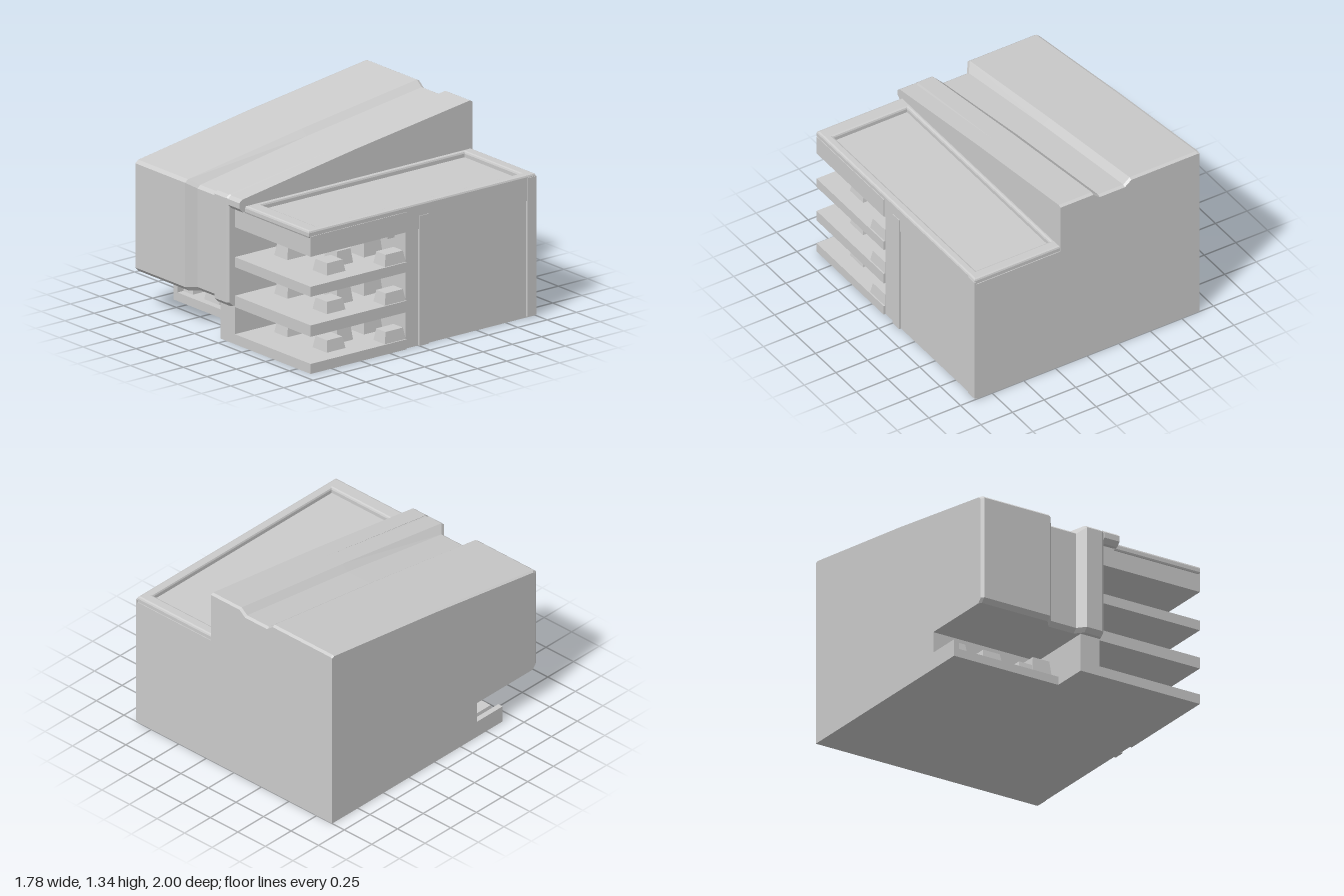
import * as THREE from 'three';

const grey = new THREE.MeshStandardMaterial({ color: 0xcccccc, flatShading: true });

export function createModel() {
  const model = new THREE.Group();
  model.name = 'house';

  const add = (name, geometry, parent = model) => {
    const mesh = new THREE.Mesh(geometry, grey);
    mesh.name = name;
    parent.add(mesh);
    return mesh;
  };

  // Box given by its limits on each axis
  const box = (name, x0, x1, y0, y1, z0, z1, parent) => {
    const mesh = add(name, new THREE.BoxGeometry(x1 - x0, y1 - y0, z1 - z0), parent);
    mesh.position.set((x0 + x1) / 2, (y0 + y1) / 2, (z0 + z1) / 2);
    return mesh;
  };

  // Sloped-roof block lofted along x; each station is [x, front inset, roof drop]
  const wedge = (name, stations, bottom) => {
    const rings = stations.map(([x, inset, drop]) => {
      const front = 1 - inset;
      return [
        [-1, bottom], [front - 0.03, bottom], [front, bottom + 0.03],
        [front, 1.03 - drop], [front - 0.025, 1.05 - drop],
        [0, 1.2 - drop], [-0.98, 1.335 - drop], [-1, 1.325 - drop],
      ].map(([z, y]) => [x, y, z]);
    });
    const positions = [];
    const tri = (...corners) => corners.forEach((c) => positions.push(...c));
    const n = rings[0].length;
    for (let i = 0; i < rings.length - 1; i++) {
      for (let k = 0; k < n; k++) {
        const a = rings[i][k], b = rings[i][(k + 1) % n];
        const c = rings[i + 1][(k + 1) % n], d = rings[i + 1][k];
        tri(a, d, c);
        tri(a, c, b);
      }
    }
    const first = rings[0], last = rings[rings.length - 1];
    for (let k = 1; k < n - 1; k++) {
      tri(first[0], first[k], first[k + 1]);
      tri(last[0], last[k + 1], last[k]);
    }
    const geometry = new THREE.BufferGeometry();
    geometry.setAttribute('position', new THREE.Float32BufferAttribute(positions, 3));
    geometry.computeVertexNormals();
    add(name, geometry);
  };

  // Upper storeys with the sunken channel running over the roof and down the front
  wedge('slopedHall', [
    [-0.89, 0.02, 0.005], [-0.875, 0, 0], [-0.35, 0, 0], [-0.3, 0.065, 0.04],
    [-0.1, 0.065, 0.04], [-0.05, 0.01, 0], [0.07, 0.01, 0], [0.09, 0.025, 0],
  ], 0.27);
  wedge('roofEave', [[0.09, 0.01, 0], [0.21, 0.01, 0]], 0.96);

  // Ground floor under the overhang, set back at the front
  box('groundFloor', -0.89, -0.06, 0, 0.27, -1, 0.41);
  box('porchFloor', -0.89, -0.06, 0, 0.06, 0.41, 0.66);
  box('porchSideWall', -0.89, -0.85, 0.06, 0.12, 0.41, 0.66);
  box('rearBase', -0.06, 0.09, 0, 0.27, -1, 0.11);
  box('cornerPier', -0.06, 0.09, 0, 0.27, 0.11, 0.93);

  // Flat-roofed wing
  box('wingBody', 0.09, 0.875, 0, 0.96, -1, 0.11);
  box('rearCornerPost', 0.875, 0.89, 0.01, 0.98, -1, -0.92);
  box('wallPilaster', 0.875, 0.89, 0, 0.91, -0.08, 0);
  box('wingEaveStrip', 0.875, 0.885, 0.82, 0.96, -0.92, 0.11);

  // Roof parapet around a shallow tray
  const rim = new THREE.Shape([[0.21, -0.93], [0.875, -0.93], [0.875, 0.985], [0.21, 0.985]]
    .map(([x, y]) => new THREE.Vector2(x, y)));
  rim.holes.push(new THREE.Path([[0.23, -0.84], [0.23, 0.92], [0.83, 0.92], [0.83, -0.84]]
    .map(([x, y]) => new THREE.Vector2(x, y))));
  const rimGeometry = new THREE.ExtrudeGeometry(rim, {
    depth: 0.025, bevelEnabled: true, bevelThickness: 0.015, bevelSize: 0.015,
    bevelOffset: -0.005, bevelSegments: 2,
  });
  rimGeometry.rotateX(-Math.PI / 2);
  add('roofParapet', rimGeometry).position.y = 0.96;

  // Open corner balconies
  for (const [name, y0, y1] of [
    ['groundSlab', 0, 0.07], ['firstSlab', 0.26, 0.34],
    ['secondSlab', 0.54, 0.61], ['roofSlab', 0.82, 0.96],
  ]) box(name, 0.09, 0.89, y0, y1, 0.11, 0.93);
  box('ceilingBeam', 0.09, 0.76, 0.75, 0.8, 0.11, 0.17);

  // Tapered block with a square plan, used for the furniture
  const lump = (parent, x, y, z, width, height, depth) => {
    const geometry = new THREE.CylinderGeometry(0.58, Math.SQRT1_2, 1, 4);
    geometry.rotateY(Math.PI / 4);
    const mesh = add('furnitureBlock', geometry, parent);
    mesh.position.set(x, y + height / 2, z);
    mesh.scale.set(width, height, depth);
  };

  for (const floor of [0.07, 0.34, 0.61]) {
    const group = new THREE.Group();
    group.name = 'balconyFurniture';
    model.add(group);
    lump(group, 0.16, floor, 0.19, 0.14, 0.13, 0.16);
    lump(group, 0.29, floor, 0.62, 0.14, 0.08, 0.16);
    lump(group, 0.56, floor, 0.19, 0.15, 0.13, 0.16);
    lump(group, 0.7, floor, 0.62, 0.15, 0.08, 0.16);
    lump(group, 0.82, floor, 0.2, 0.12, 0.08, 0.18);
    lump(group, 0.6, floor, 0.46, 0.14, 0.1, 0.14);
  }

  const porch = new THREE.Group();
  porch.name = 'porchFurniture';
  model.add(porch);
  lump(porch, -0.8, 0.06, 0.53, 0.1, 0.08, 0.16);
  lump(porch, -0.55, 0.06, 0.53, 0.16, 0.08, 0.16);
  lump(porch, -0.25, 0.06, 0.5, 0.16, 0.08, 0.18);
  lump(porch, -0.14, 0.06, 0.5, 0.16, 0.14, 0.18);

  return model;
}
